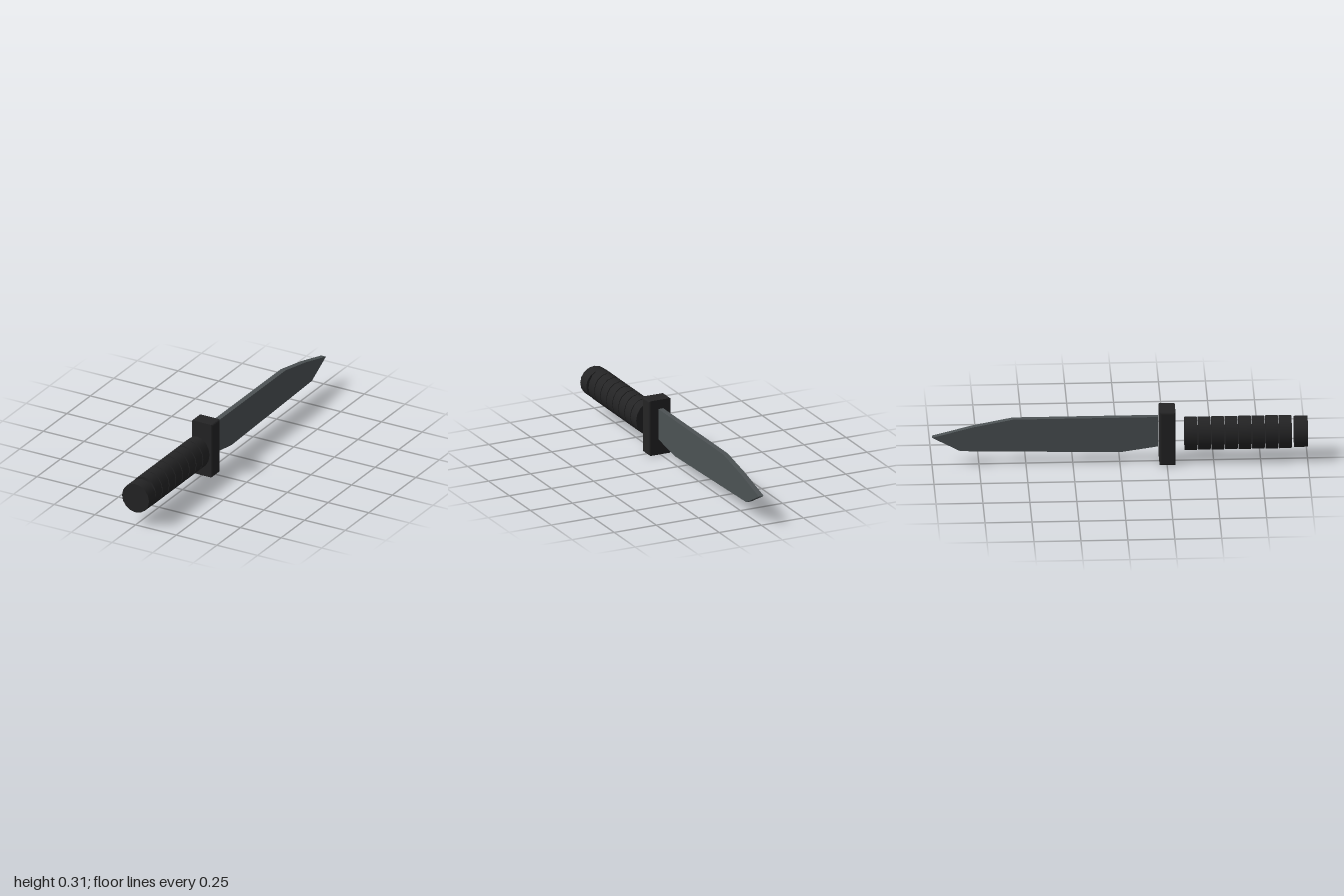
import * as THREE from 'three';

const blackRubber = new THREE.MeshStandardMaterial({ color: 0x242425 });
blackRubber.name = 'blackRubber';
const greySteel = new THREE.MeshStandardMaterial({ color: 0x4c5254 });
greySteel.name = 'greySteel';

const AXIS_Y = 0.157; // height of the handle's long axis

// Oval disc lying along z, between z0 and z1
function disc(name, rx, ry, z0, z1) {
  const geometry = new THREE.CylinderGeometry(1, 1, z1 - z0, 16)
    .rotateX(Math.PI / 2)
    .scale(rx, ry, 1);
  const mesh = new THREE.Mesh(geometry, blackRubber);
  mesh.name = name;
  mesh.position.set(0, AXIS_Y, (z0 + z1) / 2);
  return mesh;
}

// Side profile of [z, y] points, extruded across x and centred on x = 0
function slab(name, points, depth, material, bevel = 0) {
  const shape = new THREE.Shape(points.map(([z, y]) => new THREE.Vector2(z, y)));
  const geometry = new THREE.ExtrudeGeometry(shape, {
    depth,
    bevelEnabled: bevel > 0,
    bevelSize: bevel,
    bevelThickness: bevel,
    bevelOffset: -bevel,
    bevelSegments: 3,
  }).translate(0, 0, -depth / 2).rotateY(-Math.PI / 2);
  const mesh = new THREE.Mesh(geometry, material);
  mesh.name = name;
  return mesh;
}

export function createModel() {
  const model = new THREE.Group();
  model.name = 'knife';

  // Blade: flat plate with a clipped point
  model.add(slab('blade', [
    [0.203, 0.09], [0, 0.06], [-0.85, 0.083], [-1, 0.164],
    [-0.785, 0.22], [-0.57, 0.262], [0.203, 0.262],
  ], 0.029, greySteel));

  // Cross guard: block with softened side faces
  model.add(slab('guard', [
    [0.21, 0], [0.295, 0], [0.295, 0.31], [0.21, 0.31],
  ], 0.11, blackRubber, 0.01));

  // Grip: eight separate oval rings
  const grip = new THREE.Group();
  grip.name = 'grip';
  const start = 0.345, pitch = 0.0719, gap = 0.006;
  for (let i = 0; i < 8; i++) {
    const z = start + i * pitch;
    grip.add(disc('gripRing', 0.076, 0.091, z, z + pitch - gap));
  }
  model.add(grip);

  // Pommel: round end cap
  model.add(disc('pommel', 0.083, 0.083, 0.928, 1));
  return model;
}
